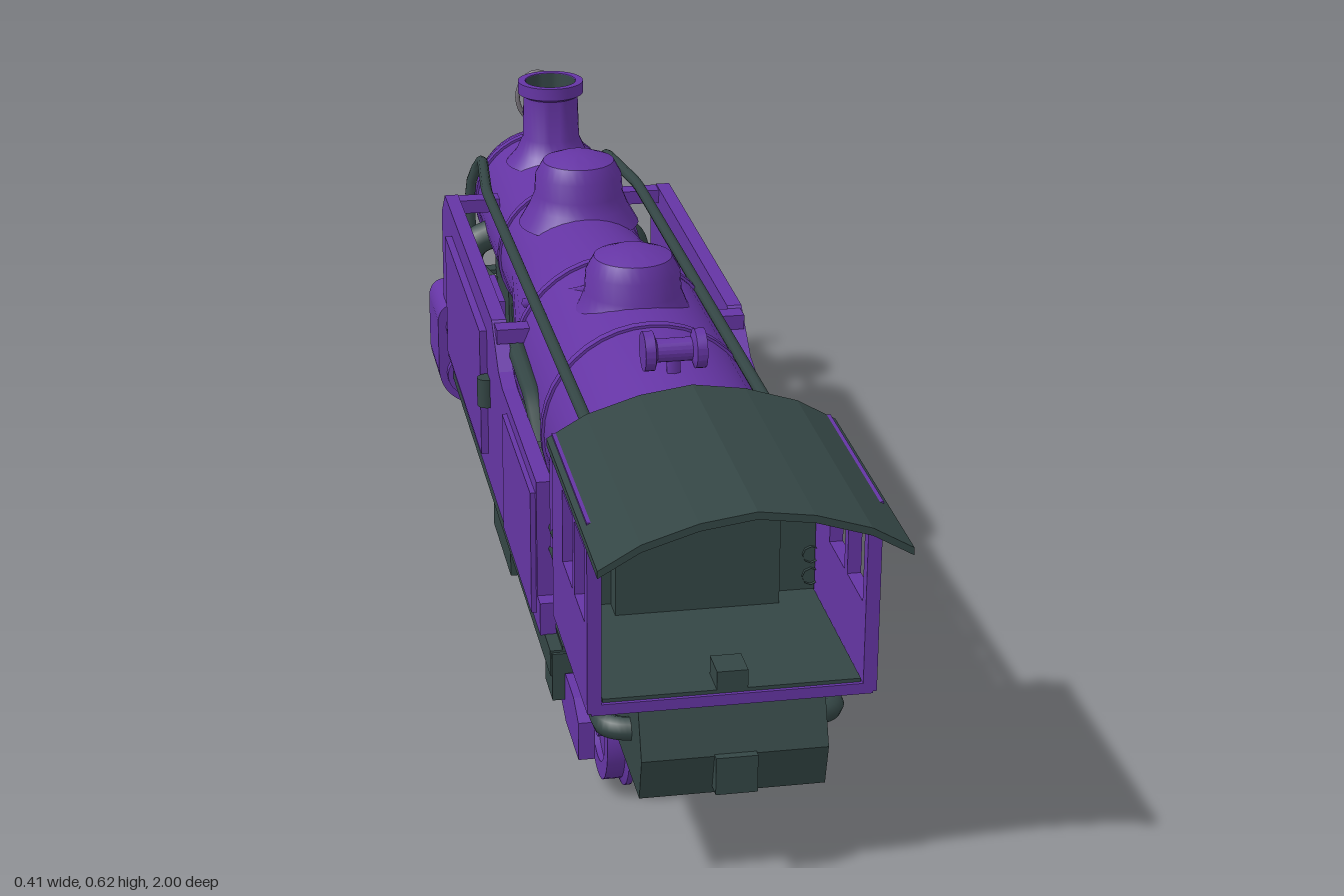
import * as THREE from 'three';
import { mergeGeometries, toCreasedNormals } from 'three/addons/utils/BufferGeometryUtils.js';

export function createModel() {
  const root = new THREE.Group();
  root.name = 'steamLocomotive';
  const mat = (name, color) => {
    const m = new THREE.MeshStandardMaterial({ color, side: THREE.DoubleSide });
    m.name = name;
    return m;
  };
  const purple = mat('purple paint', 0x6535a4);
  const dark = mat('dark iron', 0x344645);
  const grey = mat('grey metal', 0x77737a);
  const pale = mat('pale lens', 0xc4c4bc);

  // Helpers
  const V = (p) => new THREE.Vector3(...p);
  const add = (name, geo, m, x = 0, y = 0, z = 0) => {
    const mesh = new THREE.Mesh(geo, m);
    mesh.name = name;
    mesh.position.set(x, y, z);
    root.add(mesh);
    return mesh;
  };
  // Box given by its limits
  const box = (name, m, x0, x1, y0, y1, z0, z1) =>
    add(name, new THREE.BoxGeometry(Math.abs(x1 - x0), y1 - y0, z1 - z0), m, (x0 + x1) / 2, (y0 + y1) / 2, (z0 + z1) / 2);
  const lathe = (pts, n = 32) =>
    toCreasedNormals(new THREE.LatheGeometry(pts.map((p) => new THREE.Vector2(...p)), n), 0.6);
  const poly = (pts) => new THREE.Shape(pts.map((p) => new THREE.Vector2(...p)));
  const extrude = (shape, depth) =>
    new THREE.ExtrudeGeometry(shape, { depth, bevelEnabled: false, curveSegments: 12 });
  // Plate drawn as [z, y], with its thickness centred on x
  const plate = (name, m, shape, x, t) => add(name, extrude(shape, t).rotateY(-Math.PI / 2), m, x + t / 2);
  const pipe = (name, m, pts, r) => {
    const path = new THREE.CurvePath();
    const v = pts.map(V);
    let from = v[0];
    for (let i = 1; i < v.length - 1; i++) {
      const d = Math.min(0.03, v[i].distanceTo(v[i - 1]) / 2, v[i].distanceTo(v[i + 1]) / 2);
      const a = v[i].clone().add(v[i - 1].clone().sub(v[i]).setLength(d));
      const b = v[i].clone().add(v[i + 1].clone().sub(v[i]).setLength(d));
      path.add(new THREE.LineCurve3(from, a));
      path.add(new THREE.QuadraticBezierCurve3(a, v[i], b));
      from = b;
    }
    path.add(new THREE.LineCurve3(from, v[v.length - 1]));
    return add(name, new THREE.TubeGeometry(path, 64, r, 8), m);
  };
  const rod = (name, m, a, b, r) => {
    const p = V(a), q = V(b), dir = q.clone().sub(p);
    const mesh = add(name, new THREE.CylinderGeometry(r, r, dir.length(), 6), m);
    mesh.position.copy(p).add(q).multiplyScalar(0.5);
    mesh.quaternion.setFromUnitVectors(new THREE.Vector3(0, 1, 0), dir.normalize());
  };

  // Boiler, smokebox and its round door, profiled along -z
  add('boiler', lathe([[0, -0.6], [0.152, -0.6], [0.152, -0.03], [0.122, 0.22], [0.113, 0.3], [0.113, 0.745],
    [0.108, 0.765], [0.096, 0.775], [0.09, 0.77], [0.085, 0.785], [0.06, 0.797], [0, 0.802]], 40).rotateX(-Math.PI / 2), purple, 0, 0.385, 0);
  for (const [z, r] of [[0.3, 0.152], [0.02, 0.152], [-0.43, 0.113], [-0.72, 0.113]])
    add('boilerBand', lathe([[r, -0.007], [r + 0.004, -0.007], [r + 0.004, 0.007], [r, 0.007]], 40).rotateX(-Math.PI / 2), purple, 0, 0.385, z);

  // Chimney and domes
  add('chimney', lathe([[0.075, 0], [0.058, 0.02], [0.047, 0.045], [0.045, 0.115], [0.054, 0.12], [0.054, 0.14],
    [0.042, 0.14], [0.036, 0.05], [0, 0.05]]), purple, 0, 0.482, -0.62);
  add('chimneyMouth', lathe([[0.041, 0.139], [0.037, 0.06], [0, 0.06]]), dark, 0, 0.482, -0.62);
  for (const [z, y] of [[-0.33, 0.485], [0.16, 0.5]])
    add('dome', lathe([[0.095, -0.01], [0.078, 0.02], [0.07, 0.04], [0.068, 0.07], [0.056, 0.092], [0.03, 0.102], [0, 0.104]]), purple, 0, y, z);

  // Whistle spool and its post
  add('whistle', lathe([[0, -0.042], [0.027, -0.042], [0.027, -0.028], [0.016, -0.024], [0.016, 0.024], [0.027, 0.028],
    [0.027, 0.042], [0, 0.042]], 20).rotateZ(-Math.PI / 2), purple, 0, 0.568, 0.47);
  rod('whistlePost', purple, [0, 0.52, 0.47], [0, 0.56, 0.47], 0.01);

  // Headlight and bell
  add('headlight', lathe([[0, 0.775], [0.02, 0.775], [0.022, 0.82], [0.031, 0.825], [0.031, 0.86], [0.026, 0.86], [0.026, 0.852], [0, 0.852]], 24)
    .rotateX(-Math.PI / 2), dark, 0, 0.41, 0);
  add('headlightLens', new THREE.CylinderGeometry(0.026, 0.026, 0.006, 24).rotateX(Math.PI / 2), pale, 0, 0.41, -0.854);
  add('bellHoop', new THREE.TorusGeometry(0.034, 0.004, 8, 24).scale(1, 1.25, 1), grey, 0, 0.548, -0.775);
  box('bellBracket', purple, -0.015, 0.015, 0.47, 0.512, -0.785, -0.745);
  add('bell', lathe([[0.027, 0], [0.02, 0.018], [0.014, 0.04], [0.006, 0.05], [0, 0.051]], 20), purple, 0, 0.522, -0.775);

  // Cab roof, front wall, floor
  const arch = [[0.192, 0.508], [0.14, 0.538], [0.07, 0.56], [0, 0.57], [-0.07, 0.56], [-0.14, 0.538], [-0.192, 0.508]];
  const under = arch.map(([x, y]) => [x, y - 0.01]).reverse();
  add('cabRoof', extrude(poly([...arch, ...under]), 0.4), dark, 0, 0, 0.6);
  const wall = poly([[-0.166, 0.26], [0.166, 0.26], [0.166, 0.512], [0.07, 0.553], [0, 0.562], [-0.07, 0.553], [-0.166, 0.512]]);
  for (const s of [-1, 1])
    wall.holes.push(poly([[s * 0.14, 0.408], [s * 0.164, 0.408], [s * 0.164, 0.47], [s * 0.14, 0.47]]));
  add('cabFrontWall', extrude(wall, 0.012), dark, 0, 0, 0.603);
  box('cabFloor', purple, -0.18, 0.18, 0.25, 0.265, 0.6, 0.88);
  box('cabFloorPlate', dark, -0.165, 0.165, 0.265, 0.27, 0.61, 0.875);
  box('backhead', dark, -0.11, 0.11, 0.27, 0.48, 0.61, 0.65);
  box('drawbarTop', dark, -0.02, 0.02, 0.27, 0.295, 0.83, 0.875);

  // Drag box and ash pan under the cab
  plate('rearDragBox', dark, poly([[0.62, 0.25], [0.65, 0.2], [0.7, 0.13], [0.885, 0.13], [0.9, 0.19], [0.875, 0.25]]), 0, 0.24);
  box('rearCouplerPocket', dark, -0.027, 0.027, 0.14, 0.192, 0.88, 0.91);
  box('ashPan', purple, -0.075, 0.075, 0.085, 0.24, 0.3, 0.7);

  // Main frame and smokebox saddle
  box('mainFrame', dark, -0.08, 0.08, 0.12, 0.26, -0.72, 0.6);
  box('runningBed', dark, -0.165, 0.165, 0.155, 0.178, -0.55, 0.55);
  plate('saddle', dark, poly([[-0.53, 0.14], [-0.72, 0.14], [-0.7, 0.33], [-0.55, 0.33]]), 0, 0.17);

  // Spoked wheel, axis along x
  const wheel = (name, m, r, s, y, z, spokes) => {
    const parts = [
      new THREE.LatheGeometry([[r - 0.024, -0.018], [r + 0.01, -0.018], [r + 0.01, -0.01], [r, -0.006], [r, 0.018],
        [r - 0.024, 0.018], [r - 0.024, -0.018]].map((p) => new THREE.Vector2(...p)), 36).toNonIndexed(),
      new THREE.CylinderGeometry(r * 0.26, r * 0.26, 0.04, 18).toNonIndexed(),
    ];
    for (let i = 0; i < spokes; i++)
      parts.push(new THREE.BoxGeometry(r - 0.02, 0.014, 0.009).translate(r / 2, 0, 0).rotateY((i * 2 * Math.PI) / spokes).toNonIndexed());
    if (!spokes) parts.push(new THREE.CylinderGeometry(r - 0.02, r - 0.02, 0.02, 30).toNonIndexed());
    add(name, toCreasedNormals(mergeGeometries(parts), 0.6).rotateZ((-s * Math.PI) / 2), m, s * 0.108, y, z);
  };
  const driverZ = [0.168, -0.1, -0.355];
  for (const z of driverZ) rod('driverAxle', dark, [-0.1, 0.135, z], [0.1, 0.135, z], 0.016);
  rod('trailingAxle', purple, [-0.15, 0.092, 0.605], [0.15, 0.092, 0.605], 0.014);

  for (const s of [-1, 1]) {
    // Cab side with two windows
    const side = poly([[0.6, 0.253], [0.88, 0.253], [0.88, 0.515], [0.6, 0.515]]);
    for (const z of [0.687, 0.783]) side.holes.push(poly([[z, 0.372], [z + 0.08, 0.372], [z + 0.08, 0.473], [z, 0.473]]));
    plate('cabSide', purple, side, s * 0.176, 0.018);

    // Side casing with raised doors
    plate('sideCasing', purple, poly([[0.5, 0.172], [0.5, 0.22], [0.475, 0.22], [0.475, 0.39], [0.14, 0.39], [0.1, 0.4], [0.03, 0.455],
      [-0.55, 0.455], [-0.6, 0.41], [-0.6, 0.172]]), s * 0.177, 0.022);
    plate('largeSideDoor', purple, poly([[-0.03, 0.215], [-0.46, 0.215], [-0.46, 0.415], [-0.03, 0.415]]), s * 0.193, 0.012);
    plate('rearSideDoor', purple, poly([[0.465, 0.19], [0.185, 0.19], [0.185, 0.37], [0.465, 0.37]]), s * 0.19, 0.01);
    add('doorLamp', new THREE.CylinderGeometry(0.014, 0.014, 0.045, 12), dark, s * 0.192, 0.325, -0.013);
    for (const z of [0.05, -0.54]) box('casingBracket', purple, s * 0.1, s * 0.185, 0.43, 0.452, z - 0.015, z + 0.015);
    box('footplateEdge', dark, s * 0.135, s * 0.182, 0.135, 0.173, -0.56, 0.55);
    box('footplateHanger', dark, s * 0.135, s * 0.18, 0.1, 0.17, 0.49, 0.555);
    box('airTank', dark, s * 0.14, s * 0.17, 0.055, 0.15, -0.12, 0.07);

    // Steam cylinder block with rounded lower corner
    const c = new THREE.Shape();
    c.moveTo(s * 0.09, 0.082).lineTo(s * 0.155, 0.082).quadraticCurveTo(s * 0.204, 0.1, s * 0.204, 0.15);
    c.lineTo(s * 0.204, 0.235).quadraticCurveTo(s * 0.2, 0.262, s * 0.175, 0.262).lineTo(s * 0.09, 0.262);
    add('steamCylinder', extrude(c, 0.13), purple, 0, 0, -0.68);
    for (const y of [0.14, 0.222])
      add('cylinderCover', new THREE.CylinderGeometry(0.036, 0.036, 0.155, 20).rotateX(Math.PI / 2), purple, s * 0.155, y, -0.6125);
    pipe('steamPipe', dark, [[s * 0.09, 0.36, -0.63], [s * 0.14, 0.34, -0.63], [s * 0.15, 0.24, -0.63]], 0.026);

    // Wheels and rods
    for (const z of driverZ) {
      wheel('drivingWheel', dark, 0.125, s, 0.135, z, 18);
      add('crankPin', new THREE.CylinderGeometry(0.02, 0.02, 0.04, 12).rotateZ(Math.PI / 2), purple, s * 0.138, 0.1, z);
    }
    wheel('trailingWheel', purple, 0.078, s, 0.09, 0.605, 0);
    box('couplingRod', purple, s * 0.134, s * 0.144, 0.09, 0.11, -0.365, 0.178);
    plate('mainRod', purple, poly([[-0.1, 0.087], [-0.1, 0.113], [-0.43, 0.145], [-0.43, 0.127]]), s * 0.152, 0.01);
    box('crosshead', purple, s * 0.14, s * 0.165, 0.115, 0.16, -0.47, -0.41);
    rod('pistonRod', grey, [s * 0.152, 0.138, -0.42], [s * 0.152, 0.138, -0.56], 0.007);
    rod('valveRod', purple, [s * 0.16, 0.15, -0.3], [s * 0.16, 0.1, -0.13], 0.007);

    // Trailing truck frame
    plate('trailingTruckFrame', purple, poly([[0.67, 0.07], [0.67, 0.125], [0.63, 0.142], [0.56, 0.142], [0.5, 0.115], [0.27, 0.115],
      [0.27, 0.085], [0.52, 0.085], [0.56, 0.07]]), s * 0.152, 0.022);
    rod('truckArm', purple, [s * 0.1, 0.11, 0.3], [s * 0.15, 0.1, 0.5], 0.012);

    // Pipework
    for (const y of [0.235, 0.193])
      pipe('rearPipe', dark, [[s * 0.15, y, 0.48], [s * 0.15, y, 0.81], [s * 0.1, y, 0.82]], 0.016);
    for (const y of [0.29, 0.322]) pipe('sidePipe', dark, [[s * 0.16, y, 0.62], [s * 0.16, y, 0.42]], 0.012);
    pipe('handrail', dark, [[s * 0.125, 0.492, 0.61], [s * 0.125, 0.475, -0.5], [s * 0.105, 0.465, -0.71],
      [s * 0.125, 0.42, -0.725], [s * 0.125, 0.28, -0.715], [s * 0.09, 0.25, -0.68]], 0.009);
    pipe('feedPipe', dark, [[s * 0.15, 0.36, 0.28], [s * 0.155, 0.41, 0.23], [s * 0.155, 0.418, 0.05], [s * 0.14, 0.418, -0.02]], 0.014);
    pipe('grabHoop', purple, [[s * 0.165, 0.27, 0.53], [s * 0.165, 0.44, 0.53], [s * 0.165, 0.44, 0.49], [s * 0.165, 0.3, 0.49]], 0.007);
    rod('domePipe', purple, [s * 0.05, 0.53, 0.12], [s * 0.13, 0.46, -0.02], 0.008);

    // Front ladder
    for (const x of [0.065, 0.115]) rod('ladderRail', dark, [s * x, 0.28, -0.695], [s * x, 0.145, -0.76], 0.006);
    for (let i = 0; i < 3; i++) {
      const t = 0.15 + i * 0.32, y = 0.28 - 0.135 * t, z = -0.695 - 0.065 * t;
      box('ladderStep', dark, s * 0.065, s * 0.115, y - 0.004, y + 0.004, z - 0.022, z + 0.004);
    }

    // Hanging steps beside the pilot
    plate('pilotStep', dark, poly([[-0.86, 0.13], [-0.9, 0.13], [-0.915, 0.03], [-0.875, 0.03]]), s * 0.145, 0.008);
    box('pilotTread', dark, s * 0.11, s * 0.15, 0.03, 0.04, -0.915, -0.87);
    rod('pilotBrace', dark, [s * 0.05, 0.3, -0.7], [s * 0.03, 0.145, -0.86], 0.006);
  }

  // Pilot deck, beam and coupler
  box('pilotDeck', dark, -0.175, 0.175, 0.127, 0.145, -0.88, -0.68);
  box('pilotBeam', dark, -0.145, 0.145, 0.1, 0.146, -0.92, -0.875);
  box('coupler', purple, -0.022, 0.022, 0.115, 0.142, -0.955, -0.89);
  box('couplerKnuckle', purple, -0.03, 0.03, 0.11, 0.145, -0.95, -0.93);

  // Slatted cowcatcher ending in a point
  const w = 0.115;
  box('catcherTopBar', purple, -0.085, 0.085, 0.096, 0.112, -0.928, -0.912);
  for (let i = -6; i <= 6; i++) {
    const x = (i / 6) * w;
    rod('catcherSlat', purple, [x * 0.72, 0.104, -0.92], [x, 0.028, -0.993 + 0.068 * Math.abs(i / 6)], 0.0055);
  }
  for (const s of [-1, 1]) rod('catcherBottomBar', purple, [0, 0.026, -0.993], [s * w, 0.026, -0.922], 0.007);
  box('catcherBack', purple, -w, w, 0.02, 0.034, -0.926, -0.914);

  return root;
}
